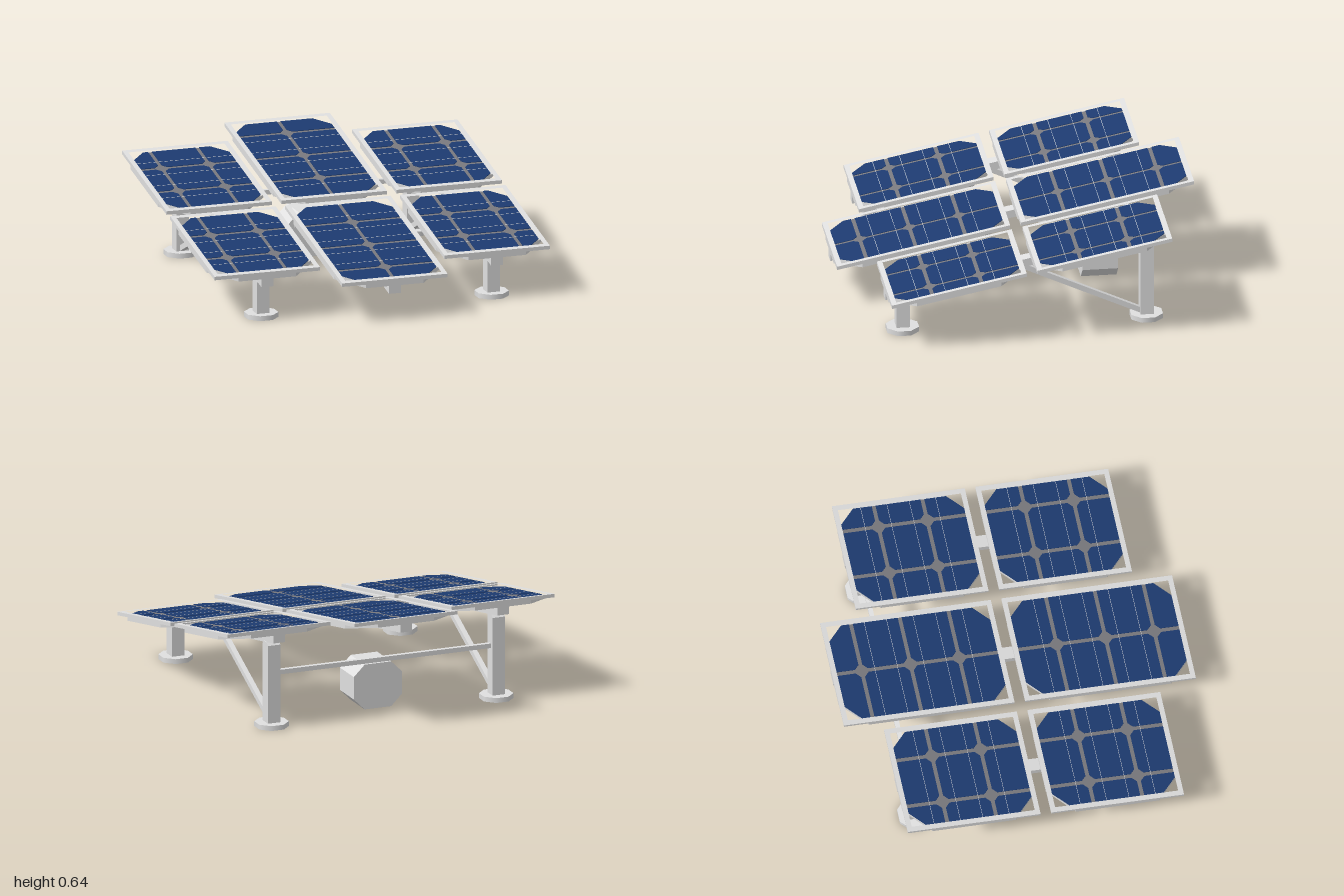
import * as THREE from 'three';

const metal = new THREE.MeshStandardMaterial({ color: 0xe0e0e0 });
metal.name = 'light metal';
const backing = new THREE.MeshStandardMaterial({ color: 0x7a7a7f });
backing.name = 'grey backing';
const cellBlue = new THREE.MeshStandardMaterial({ color: 0x1d3b71 });
cellBlue.name = 'cell blue';

const PITCH = 0.277, RAIL = 0.028, CORNER = 0.085;
// leans flat deck parts to the slope while keeping their ends upright
const slope = new THREE.Matrix4().set(1, 0, 0, 0, 0, 1, -0.2, 0.44, 0, 0, 1, 0, 0, 0, 0, 1);

// rectangle in x/z with its own cut for each corner: [x0z0, x1z0, x1z1, x0z1]
function cutRect(x0, x1, z0, z1, c = [0, 0, 0, 0]) {
  const p = [
    [x0, z0 + c[0]], [x0 + c[0], z0], [x1 - c[1], z0], [x1, z0 + c[1]],
    [x1, z1 - c[2]], [x1 - c[2], z1], [x0 + c[3], z1], [x0, z1 - c[3]],
  ].filter(([x, z], i, a) => i === 0 || x !== a[i - 1][0] || z !== a[i - 1][1]);
  const first = p[0], last = p[p.length - 1];
  if (first[0] === last[0] && first[1] === last[1]) p.pop();
  return p.map(([x, z]) => new THREE.Vector2(x, -z));
}

// flat slab on the sloped deck, top measured from the deck plane
function slab(name, points, top, thick, material, hole) {
  const shape = new THREE.Shape(points);
  if (hole) shape.holes.push(new THREE.Path(hole));
  const g = new THREE.ExtrudeGeometry(shape, { depth: thick, bevelEnabled: false });
  g.rotateX(-Math.PI / 2).translate(0, top - thick, 0).applyMatrix4(slope);
  const m = new THREE.Mesh(g, material);
  m.name = name;
  return m;
}

function box(name, w, h, d, x, y, z) {
  const m = new THREE.Mesh(new THREE.BoxGeometry(w, h, d), metal);
  m.position.set(x, y, z);
  m.name = name;
  return m;
}

// edges between cells along one axis, following a shared grid
function gridLines(a, b, half) {
  const list = [a];
  for (let i = -4; i <= 4; i++) {
    const v = PITCH * i;
    if (v > a + half * 2 && v < b - half * 2) list.push(v);
  }
  return [...list, b];
}

function panel(x0, x1, z0, z1) {
  const g = new THREE.Group();
  g.name = 'solarPanel';
  const ix0 = x0 + RAIL, ix1 = x1 - RAIL, iz0 = z0 + RAIL, iz1 = z1 - RAIL;
  g.add(slab('panelFrame', cutRect(x0, x1, z0, z1), 0, 0.02, metal, cutRect(ix0, ix1, iz0, iz1)));
  // octagonal tray and backing sheet, leaving the frame corners open
  g.add(slab('panelTray', cutRect(x0, x1, z0, z1, Array(4).fill(CORNER + 2 * RAIL)), -0.02, 0.02, metal));
  g.add(slab('backingSheet', cutRect(ix0, ix1, iz0, iz1, Array(4).fill(CORNER)), -0.011, 0.009, [backing, metal]));
  // cells with small cuts where four meet
  const half = 0.011, xs = gridLines(ix0, ix1, half), zs = gridLines(iz0, iz1, half);
  const nx = xs.length - 1, nz = zs.length - 1;
  for (let i = 0; i < nx; i++) {
    for (let j = 0; j < nz; j++) {
      const cut = (a, b) => {
        const ex = a === 0 || a === nx, ez = b === 0 || b === nz;
        return ex && ez ? CORNER : ex || ez ? 0 : 0.026;
      };
      const inset = (k, n) => (k === 0 || k === n ? 0 : half);
      g.add(slab('solarCell', cutRect(
        xs[i] + inset(i, nx), xs[i + 1] - inset(i + 1, nx),
        zs[j] + inset(j, nz), zs[j + 1] - inset(j + 1, nz),
        [cut(i, j), cut(i + 1, j), cut(i + 1, j + 1), cut(i, j + 1)],
      ), -0.008, 0.003, cellBlue));
    }
  }
  // fine contact wires, two across each row of cells
  for (let k = -4; k < 4; k++) {
    for (const f of [0.27, 0.73]) {
      const z = (k + f) * PITCH;
      if (z > iz0 + CORNER && z < iz1 - CORNER) {
        g.add(slab('contactWire', cutRect(ix0, ix1, z - 0.001, z + 0.001), -0.0072, 0.0008, metal));
      }
    }
  }
  return g;
}

// leg with softened top corners on an octagonal foot
function leg(name, x, z, top) {
  const g = new THREE.Group();
  g.name = name;
  const h = 0.0375, c = 0.016;
  const shape = new THREE.Shape([[-h, 0.02], [h, 0.02], [h, top - c], [h - c, top], [c - h, top], [-h, top - c]]
    .map(([a, b]) => new THREE.Vector2(a, b)));
  const geo = new THREE.ExtrudeGeometry(shape, { depth: 0.075, bevelEnabled: false });
  geo.translate(0, 0, -0.0375).rotateY(Math.PI / 2);
  const post = new THREE.Mesh(geo, metal);
  post.name = 'legPost';
  const foot = new THREE.Mesh(new THREE.CylinderGeometry(0.096, 0.096, 0.028, 8), metal);
  foot.name = 'legFoot';
  foot.rotation.y = Math.PI / 8;
  foot.position.y = 0.014;
  g.add(post, foot);
  g.position.set(x, 0, z);
  return g;
}

export function createModel() {
  const model = new THREE.Group();
  model.name = 'solarArray';

  // three columns of panels, each on a long beam
  for (const [cx, end] of [[-0.675, 0.785], [0, 1], [0.675, 0.785]]) {
    const x0 = cx - 0.31, x1 = cx + 0.31;
    model.add(panel(x0, x1, 0.03, end), panel(x0, x1, -end, -0.03));
    model.add(slab('supportBeam', cutRect(cx - 0.035, cx + 0.035, -end, end), -0.04, 0.045, metal));
  }

  // legs and diagonal braces
  const y0 = 0.04, y1 = 0.35, z0 = -0.66, z1 = 0.01;
  for (const s of [-1, 1]) {
    const x = 0.677 * s;
    model.add(leg('frontLeg', x, 0.685, 0.225), leg('rearLeg', x, -0.682, 0.495));
    const brace = box('diagonalBrace', 0.03, 0.03, Math.hypot(y1 - y0, z1 - z0), x, (y0 + y1) / 2, (z0 + z1) / 2);
    brace.rotation.x = -Math.atan2(y1 - y0, z1 - z0);
    model.add(brace);
  }
  model.add(box('rearCrossbar', 1.35, 0.026, 0.026, 0, 0.312, -0.685));

  // eight-sided equipment housing with two plates on its front
  const outline = cutRect(-0.145, 0.145, -0.26, 0, Array(4).fill(0.065));
  const housing = new THREE.Mesh(
    new THREE.ExtrudeGeometry(new THREE.Shape(outline), { depth: 0.2, bevelEnabled: false }), metal);
  housing.name = 'equipmentHousing';
  housing.position.z = -0.597;
  model.add(housing);
  model.add(box('housingPlate', 0.078, 0.15, 0.012, 0.071, 0.147, -0.391));
  model.add(box('housingPlate', 0.078, 0.045, 0.012, -0.071, 0.2, -0.391));
  return model;
}
